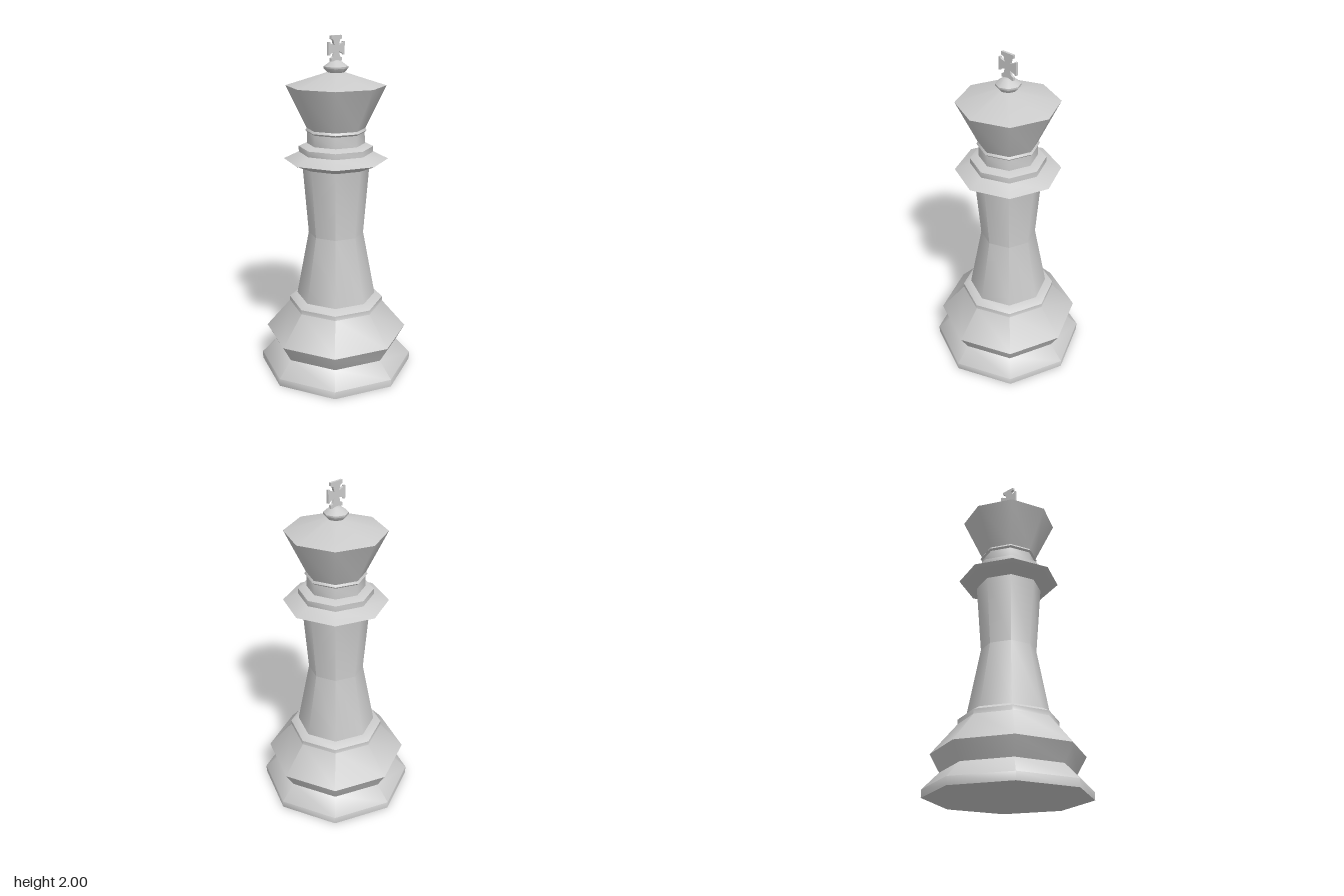
import * as THREE from 'three';
import { toCreasedNormals } from 'three/addons/utils/BufferGeometryUtils.js';

const material = new THREE.MeshStandardMaterial({ color: 0xcccccc });

// Eight-sided turned part: smooth around, sharp at strong profile breaks.
function turned(name, profile) {
  const points = profile.map(([r, y]) => new THREE.Vector2(r, y));
  const mesh = new THREE.Mesh(toCreasedNormals(new THREE.LatheGeometry(points, 8), 0.81), material);
  mesh.name = name;
  return mesh;
}

// Flared cross: one quarter outline mirrored into the four quadrants.
function cross() {
  const quarter = [[0.062, 0.036], [0.05, 0.036], [0.05, 0.03], [0.018, 0.018], [0.026, 0.045], [0.042, 0.052], [0.042, 0.07]];
  const back = [...quarter].reverse();
  const outline = [
    ...quarter,
    ...back.map(([x, y]) => [-x, y]),
    ...quarter.map(([x, y]) => [-x, -y]),
    ...back.map(([x, y]) => [x, -y]),
  ].map(([x, y]) => new THREE.Vector2(x, y));
  const geometry = new THREE.ExtrudeGeometry(new THREE.Shape(outline), { depth: 0.014, bevelEnabled: false });
  geometry.translate(0, 1.93, -0.007);
  const mesh = new THREE.Mesh(geometry, material);
  mesh.name = 'cross';
  return mesh;
}

export function createModel() {
  const group = new THREE.Group();
  group.name = 'chessKing';
  group.add(
    // Stepped foot
    turned('base', [[0, 0], [0.465, 0], [0.465, 0.045], [0.375, 0.135], [0.43, 0.235],
      [0.285, 0.405], [0.285, 0.432], [0.238, 0.458], [0, 0.458]]),
    // Waisted column
    turned('column', [[0.238, 0.455], [0.163, 0.855], [0.195, 1.265]]),
    // Wide sharp collar with a smaller ring above
    turned('collar', [[0, 1.262], [0.195, 1.262], [0.302, 1.307], [0.215, 1.347],
      [0.215, 1.38], [0.17, 1.397], [0, 1.397]]),
    // Neck and flared head
    turned('head', [[0.167, 1.39], [0.165, 1.462], [0.176, 1.472], [0.168, 1.485],
      [0.285, 1.727], [0.05, 1.8], [0, 1.8]]),
    // Knob carrying the cross
    turned('finial', [[0.045, 1.795], [0.069, 1.822], [0.069, 1.832], [0.028, 1.862], [0, 1.868]]),
    cross(),
  );
  return group;
}
